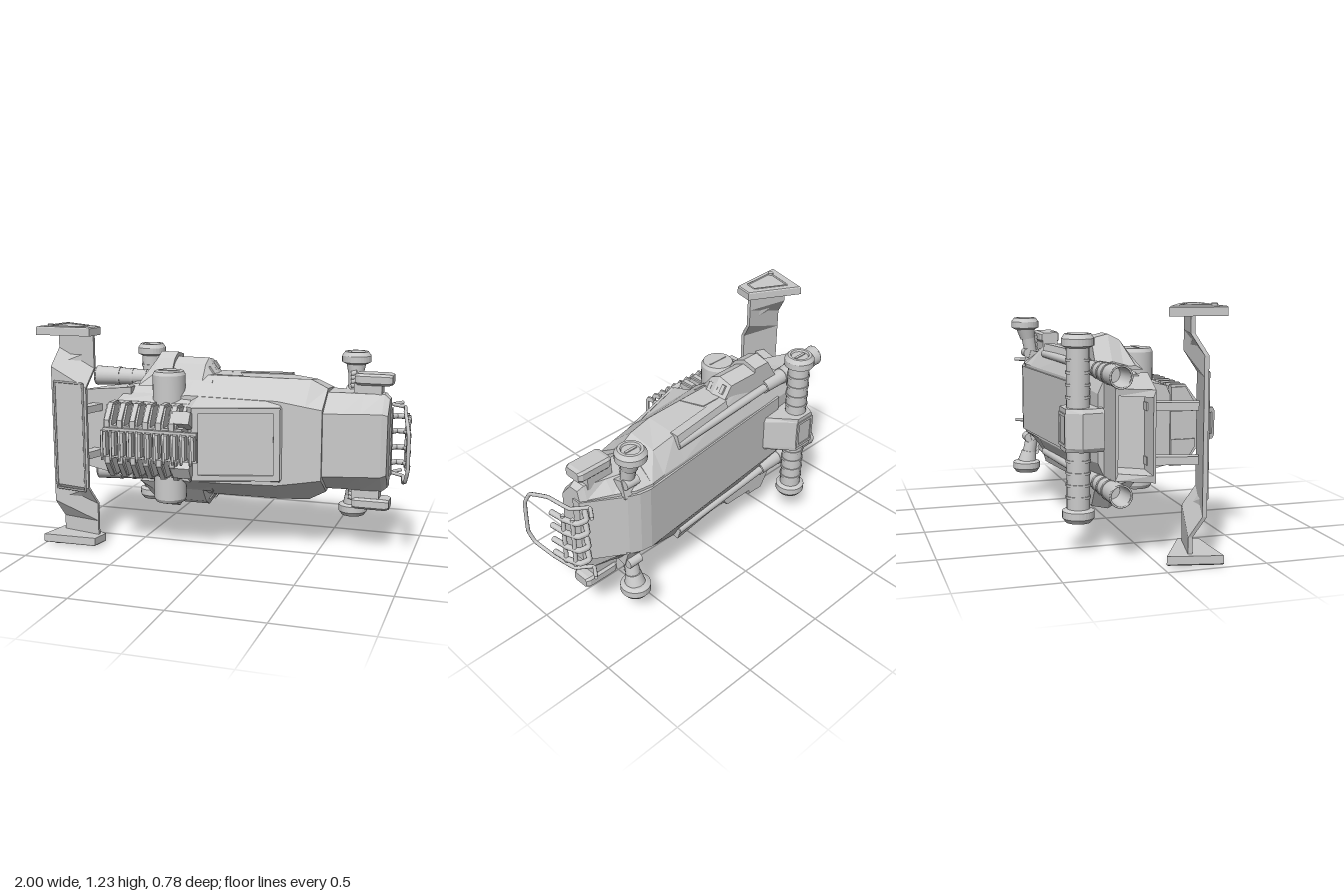
import * as THREE from 'three';

const mat = new THREE.MeshStandardMaterial({ color: 0xcccccc, flatShading: true, side: THREE.DoubleSide });
const smooth = new THREE.MeshStandardMaterial({ color: 0xcccccc, side: THREE.DoubleSide });

// Length runs along x, width along y, roof faces +z; the root group is lifted onto the ground.
export function createModel() {
  const root = new THREE.Group();
  root.name = 'hoverVehicle';
  root.position.y = 0.617;

  const add = (name, geo, pos = [0, 0, 0], rot = [0, 0, 0], m = mat) => {
    const mesh = new THREE.Mesh(geo, m);
    mesh.name = name;
    mesh.position.set(...pos);
    mesh.rotation.set(...rot);
    root.add(mesh);
    return mesh;
  };
  const box = (name, size, pos, rot) => add(name, new THREE.BoxGeometry(...size), pos, rot);
  const tube = (name, pts, r) => add(name, new THREE.TubeGeometry(
    new THREE.CatmullRomCurve3(pts.map(p => new THREE.Vector3(...p)), false, 'catmullrom', 0.15), pts.length * 8, r, 8), [0, 0, 0], [0, 0, 0], smooth);
  // round part between two points
  const rod = (name, a, b, ra, rb = ra, open = false, sides = 20) => {
    const A = new THREE.Vector3(...a), B = new THREE.Vector3(...b), d = B.clone().sub(A);
    const mesh = add(name, new THREE.CylinderGeometry(rb, ra, d.length(), sides, 1, open), A.clone().add(B).multiplyScalar(0.5).toArray(), [0, 0, 0], smooth);
    mesh.quaternion.setFromUnitVectors(new THREE.Vector3(0, 1, 0), d.normalize());
    return mesh;
  };
  // skin over matching cross-sections, turned outwards
  const loft = (name, secs) => {
    const tris = [], n = secs[0].length, end = secs[secs.length - 1];
    for (let i = 0; i + 1 < secs.length; i++) for (let j = 0; j < n; j++) {
      const k = (j + 1) % n, a = secs[i], b = secs[i + 1];
      tris.push([a[j], b[j], b[k]], [a[j], b[k], a[k]]);
    }
    for (let j = 1; j + 1 < n; j++) tris.push([secs[0][0], secs[0][j], secs[0][j + 1]], [end[0], end[j + 1], end[j]]);
    const c = new THREE.Vector3();
    secs.flat().forEach(p => c.add(new THREE.Vector3(...p)));
    c.divideScalar(n * secs.length);
    let vol = 0;
    for (const t of tris) {
      const [p, q, r] = t.map(v => new THREE.Vector3(...v).sub(c));
      vol += p.dot(q.cross(r));
    }
    const pos = tris.flatMap(t => (vol < 0 ? [t[0], t[2], t[1]] : t)).flat();
    const g = new THREE.BufferGeometry();
    g.setAttribute('position', new THREE.Float32BufferAttribute(pos, 3));
    g.computeVertexNormals();
    return add(name, g);
  };
  // symmetric section across the width: list of [halfWidth, z] from roof to belly
  const sec = (x, ...hz) => [
    ...hz.map(([h, z]) => [x, h, z]),
    ...hz.slice().reverse().map(([h, z]) => [x, -h, z])];

  // main hull and nose
  loft('hull', [
    sec(-0.6, [0.19, 0.06], [0.26, -0.02], [0.26, -0.18], [0.17, -0.22]),
    sec(-0.2, [0.24, 0.1], [0.335, -0.04], [0.335, -0.2], [0.2, -0.26]),
    sec(0.29, [0.23, 0.075], [0.335, -0.05], [0.33, -0.24], [0.2, -0.31]),
    sec(0.44, [0.205, 0.065], [0.332, -0.08], [0.31, -0.245], [0.2, -0.322]),
    sec(0.53, [0.19, 0.055], [0.285, -0.09], [0.27, -0.25], [0.2, -0.333])]);
  loft('nose', [
    sec(0.52, [0.17, 0.04], [0.265, -0.09], [0.265, -0.25], [0.2, -0.335]),
    sec(0.62, [0.17, 0.018], [0.265, -0.1], [0.265, -0.235], [0.2, -0.32]),
    sec(0.72, [0.17, -0.005], [0.265, -0.1], [0.265, -0.21], [0.2, -0.265]),
    sec(0.83, [0.17, -0.03], [0.265, -0.11], [0.265, -0.18], [0.19, -0.2]),
    sec(0.86, [0.16, -0.045], [0.24, -0.11], [0.24, -0.165], [0.18, -0.18])]);
  loft('bellyPlate', [[-0.5, -0.24], [0.55, -0.345], [0.61, -0.336], [0.67, -0.31], [0.73, -0.272], [0.8, -0.228], [0.868, -0.185]]
    .map(([x, z]) => sec(x, [0.185, z + 0.05], [0.185, z])));

  // hollow tail with a slanted mouth
  const tailEnd = (k, dx) => [[-0.88 + dx, 0.22 * k, -0.1 + 0.08 * k], [-0.79 + dx, 0.22 * k, -0.1 - 0.09 * k],
    [-0.79 + dx, -0.22 * k, -0.1 - 0.09 * k], [-0.88 + dx, -0.22 * k, -0.1 + 0.08 * k]];
  loft('tail', [
    [[-0.55, 0.26, 0.05], [-0.55, 0.26, -0.19], [-0.55, -0.26, -0.19], [-0.55, -0.26, 0.05]],
    tailEnd(1, 0), tailEnd(0.84, 0), tailEnd(0.8, 0.12)]);

  // cockpit with framed sloping window
  loft('cockpit', [
    sec(-0.21, [0.185, 0.13], [0.26, 0.05], [0.29, -0.05]),
    sec(-0.14, [0.197, 0.215], [0.25, 0.06], [0.3, -0.05]),
    sec(0.31, [0.197, 0.085], [0.235, 0.05], [0.28, -0.05]),
    sec(0.33, [0.185, 0.06], [0.22, 0.03], [0.26, -0.05])]);
  const rect = (shape, w, h) => shape.moveTo(-w, -h).lineTo(w, -h).lineTo(w, h).lineTo(-w, h).closePath();
  const frame = rect(new THREE.Shape(), 0.235, 0.197);
  frame.holes.push(rect(new THREE.Path(), 0.2, 0.168));
  add('windowFrame', new THREE.ExtrudeGeometry(frame, { depth: 0.018, bevelEnabled: false }), [0.085, 0, 0.147], [0, 0.28, 0]);

  // engine deck and blower with a row of open hoops
  loft('engineDeck', [
    sec(-0.6, [0.13, 0.16], [0.2, 0.13], [0.23, 0]),
    sec(-0.18, [0.16, 0.19], [0.2, 0.14], [0.26, 0])]);
  box('engineBlock', [0.44, 0.18, 0.13], [-0.39, 0, 0.215]);
  box('blower', [0.53, 0.16, 0.025], [-0.345, 0, 0.292]);
  const hoop = new THREE.Shape([[0, -0.04], [0.022, -0.08], [0.05, -0.08], [0.062, -0.06], [0.062, 0.06], [0.05, 0.08], [0.022, 0.08], [0, 0.04]].map(p => new THREE.Vector2(...p)));
  hoop.holes.push(new THREE.Path([[0.018, -0.05], [0.018, 0.05], [0.045, 0.055], [0.045, -0.055]].map(p => new THREE.Vector2(...p))));
  const hoopGeo = new THREE.ExtrudeGeometry(hoop, { depth: 0.012, bevelEnabled: false }).rotateY(-Math.PI / 2).rotateY(0.4);
  for (let i = 0; i < 11; i++) {
    const x = -0.595 + i * 0.0495;
    box('blowerRib', [0.032, 0.13, 0.05], [x, 0, 0.315]);
    add('blowerHoop', hoopGeo, [x - 0.002, 0, 0.332]);
  }

  // rear wing: slab whose two edges step up at different widths, with end plates
  const wingStep = (y, inner, outer) => THREE.MathUtils.clamp((outer - Math.abs(y)) / (outer - inner), 0, 1);
  const wingSec = y => {
    const f = wingStep(y, 0.28, 0.38), t = wingStep(y, 0.38, 0.48);
    return [[-0.93 - 0.025 * t, y, 0.125 + 0.06 * t], [-0.7 - 0.025 * f, y, 0.18 + 0.06 * f],
      [-0.7 - 0.025 * f, y, 0.2 + 0.06 * f], [-0.93 - 0.025 * t, y, 0.148 + 0.06 * t]];
  };
  loft('wing', [-0.57, -0.48, -0.38, -0.28, 0.28, 0.38, 0.48, 0.57].map(wingSec));
  const wingPlate = (y, k) => [[-0.94, 0.016], [-0.67, 0.17], [-0.69, 0.272], [-0.998, 0.28]]
    .map(([x, z]) => [-0.83 + (x + 0.83) * k, y, 0.2 + (z - 0.2) * k]);
  for (const [x, z] of [[-0.935, 0.216], [-0.745, 0.258]]) rod('wingPanelRim', [x, -0.3, z], [x, 0.3, z], 0.006, 0.006, false, 6);

  for (const s of [1, -1]) {
    rod('wingPanelRim', [-0.935, s * 0.3, 0.216], [-0.745, s * 0.3, 0.252], 0.006, 0.006, false, 6);
    loft('wingEndPlate', [wingPlate(s * 0.56, 1), wingPlate(s * 0.6, 1), wingPlate(s * 0.606, 0.96)]);
    const rim = wingPlate(s * 0.606, 0.62);
    rim.forEach((p, i) => rod('endPlateRib', p, rim[(i + 1) % 4], 0.005, 0.005, false, 6));
    rod('endPlateBolt', [-0.93, s * 0.6, 0.24], [-0.93, s * 0.617, 0.24], 0.015);
    loft('wingStrut', [[[-0.8, 0.11 * s, -0.04], [-0.73, 0.11 * s, -0.04], [-0.73, 0.15 * s, -0.04], [-0.8, 0.15 * s, -0.04]],
      [[-0.86, 0.11 * s, 0.2], [-0.81, 0.11 * s, 0.22], [-0.81, 0.15 * s, 0.22], [-0.86, 0.15 * s, 0.2]]]);

    // engine side ribs
    const rib = (x, d) => [[0.07, 0.15], [0.2 + d, 0.15], [0.2 + d, 0.225], [0.115 + d, 0.285 + d], [0.07, 0.285 + d]].map(([y, z]) => [x, s * y, z]);
    for (let i = 0; i < 6; i++) {
      const x = -0.595 + i * 0.074;
      loft('engineRib', [rib(x - 0.024, -0.008), rib(x + 0.024, -0.008)]);
      loft('engineRibCrest', [rib(x - 0.014, 0.004), rib(x + 0.014, 0.004)]);
    }
    box('engineBracket', [0.1, 0.07, 0.09], [-0.18, s * 0.13, 0.23], [-s * 0.5, 0, 0]);
    rod('bracketBolt', [-0.18, s * 0.15, 0.24], [-0.18, s * 0.175, 0.24], 0.017);

    // side intakes
    const pod = (x, y, t = 1) => [[x, s * 0.27, 0.04], [x, s * (y - 0.11 * t), 0.0], [x, s * (y - 0.03), -0.06], [x, s * y, -0.12],
      [x, s * (y - 0.02), -0.205], [x, s * 0.27, -0.205]];
    loft('sideShoulder', [pod(-0.51, 0.315, 0.2), pod(-0.43, 0.445), pod(-0.33, 0.445)]);
    loft('sideIntake', [pod(-0.33, 0.42), pod(-0.15, 0.42), pod(-0.09, 0.335, 0.2)]);
    for (let i = 0; i < 3; i++) box('intakeVent', [0.012, 0.05, 0.022], [-0.12, s * (0.355 + 0.01 * i), -0.08 - i * 0.045], [0, 0, s * 0.6]);
    loft('sidePanel', [[-0.15, -0.17], [0.02, -0.17]].map(([x, z]) => [[x, s * 0.3, z], [x, s * 0.338, z], [x + 0.05, s * 0.338, -0.05], [x + 0.05, s * 0.3, -0.05]]));

    // round drums on the flanks
    rod('flankDrum', [-0.32, s * 0.15, 0.06], [-0.32, s * 0.345, 0.06], 0.09, 0.09, false, 32);
    rod('flankDrumRim', [-0.32, s * 0.345, 0.06], [-0.32, s * 0.364, 0.06], 0.09, 0.08, false, 32);
    box('drumSlot', [0.12, 0.006, 0.008], [-0.32, s * 0.365, 0.06]);

    // exhaust pipe and long side rail
    rod('exhaustPipe', [-0.4, s * 0.28, -0.205], [-0.85, s * 0.28, -0.18], 0.036, 0.056, true);
    rod('exhaustLiner', [-0.6, s * 0.28, -0.194], [-0.85, s * 0.28, -0.18], 0.034, 0.048, true);
    add('exhaustLip', new THREE.TorusGeometry(0.052, 0.005, 8, 24), [-0.85, s * 0.28, -0.18], [0, Math.PI / 2 - 0.05, 0], smooth);
    for (let i = 0; i < 3; i++) rod('exhaustBand', [-0.55 - i * 0.08, s * 0.28, -0.197 + i * 0.0045], [-0.565 - i * 0.08, s * 0.28, -0.196 + i * 0.0045], 0.046 + i * 0.004);
    rod('railTube', [-0.4, s * 0.28, -0.215], [0.3, s * 0.28, -0.27], 0.022);
    loft('railPlate', [[-0.1, -0.2], [0.3, -0.25]].map(([x, z]) => [[x, s * 0.27, z - 0.04], [x, s * 0.337, z - 0.02], [x, s * 0.337, z + 0.03], [x, s * 0.27, z + 0.03]]));

    // thruster caps, rear axle halves and front legs
    for (const [x, z] of [[-0.565, -0.31], [0.64, -0.31]]) {
      const prof = [[0, 0.395], [0.06, 0.395], [0.08, 0.405], [0.08, 0.44], [0.064, 0.462], [0.05, 0.462], [0.045, 0.452], [0, 0.452]].map(p => new THREE.Vector2(...p));
      add('thrusterCap', new THREE.LatheGeometry(prof, 28), [x, 0, z], [s > 0 ? 0 : Math.PI, 0, 0]);
      box('capSlot', [0.07, 0.008, 0.014], [x, s * 0.453, z]);
    }
    rod('rearAxle', [-0.565, 0, -0.31], [-0.565, s * 0.4, -0.31], 0.057);
    for (let i = 0; i < 4; i++) rod('axleBand', [-0.565, s * (0.15 + i * 0.06), -0.31], [-0.565, s * (0.163 + i * 0.06), -0.31], 0.062);
    rod('frontLeg', [0.64, s * 0.25, -0.275], [0.64, s * 0.36, -0.295], 0.035, 0.04);
    rod('frontLegCollar', [0.64, s * 0.34, -0.295], [0.64, s * 0.4, -0.305], 0.042, 0.055);
    rod('frontKnuckle', [0.6, s * 0.255, -0.3], [0.68, s * 0.255, -0.3], 0.027);
    box('frontLegMount', [0.09, 0.1, 0.07], [0.64, s * 0.215, -0.265], [s * 0.3, 0, 0]);
    for (let i = 0; i < 4; i++) rod('legSpring', [0.625, s * (0.28 + i * 0.022), -0.25], [0.655, s * (0.288 + i * 0.022), -0.25], 0.014);

    // nose lamps
    box('lampMount', [0.15, 0.08, 0.09], [0.74, s * 0.28, -0.15]);
    loft('noseLamp', [[0.67, 0.85], [0.69, 1], [0.85, 1], [0.87, 0.8]].map(([x, k]) =>
      [[1, 0.6], [0.8, 1], [-0.8, 1], [-1, 0.6], [-1, -0.6], [-0.8, -1], [0.8, -1], [1, -0.6]]
        .map(([a, b]) => [x, s * (0.34 + 0.031 * k * b), -0.15 + 0.058 * k * a])));
  }

  // belly clamp holding the rear axle, with a raised rim
  loft('axleClamp', [[-0.106, 0.9], [-0.085, 1], [0.085, 1], [0.106, 0.9]].map(([y, k]) =>
    [[-0.65, -0.2], [-0.66, -0.31], [-0.62, -0.385], [-0.5, -0.385], [-0.37, -0.25], [-0.37, -0.2]].map(([x, z]) => [-0.53 + (x + 0.53) * k, y, z])));
  for (const s of [1, -1]) {
    box('clampRim', [0.12, 0.015, 0.008], [-0.56, s * 0.075, -0.387]);
    box('clampRim', [0.015, 0.15, 0.008], [-0.56 + s * 0.055, 0, -0.387]);
  }

  // front guard hoop and bars
  const half = [[0.9, 0.19, -0.32], [0.855, 0.19, -0.25], [0.93, 0.19, -0.19], [0.95, 0.19, -0.05], [0.975, 0.155, 0.065], [0.99, 0.09, 0.095]];
  tube('guardHoop', [...half, ...half.slice().reverse().map(([x, y, z]) => [x, -y, z])], 0.01);
  for (const y of [0.128, 0.046, -0.044, -0.128])
    tube('guardBar', [[0.83, y, -0.17], [0.88, y, -0.25], [0.93, y, -0.24], [0.955, y, -0.17], [0.965, y, -0.085]], 0.015);
  for (const [x, z] of [[0.94, -0.22], [0.955, -0.165]]) rod('guardCrossbar', [x, -0.15, z], [x, 0.15, z], 0.011);

  return root;
}
